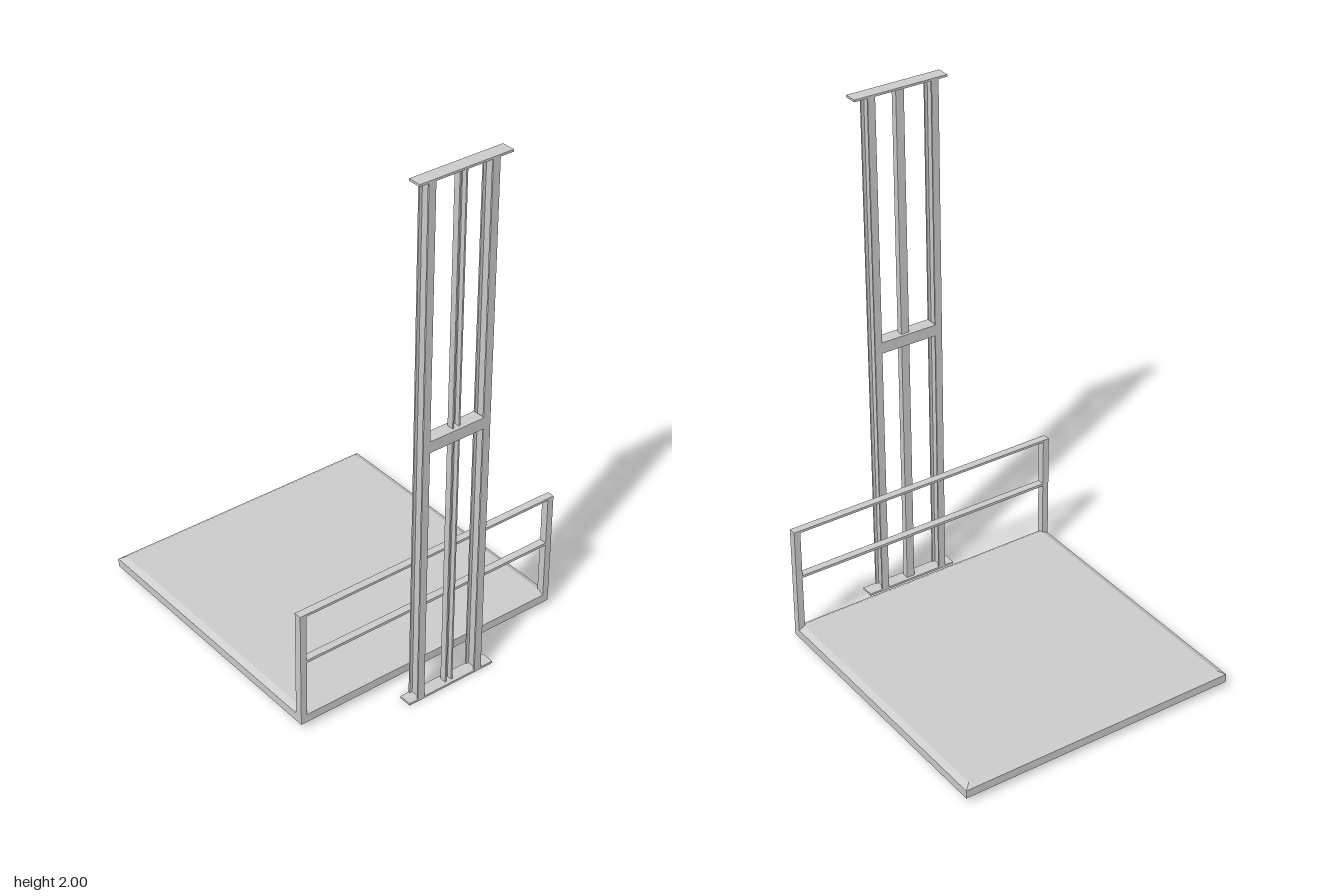
import * as THREE from 'three';

const grey = new THREE.MeshStandardMaterial({ color: 0xcccccc, flatShading: true });

// Box given by its min and max on each axis
function bar(parent, name, x0, x1, y0, y1, z0, z1) {
  const mesh = new THREE.Mesh(new THREE.BoxGeometry(x1 - x0, y1 - y0, z1 - z0), grey);
  mesh.position.set((x0 + x1) / 2, (y0 + y1) / 2, (z0 + z1) / 2);
  mesh.name = name;
  parent.add(mesh);
  return mesh;
}

// Upright steel section: outline in (x, z), extruded from y0 to y1
function upright(parent, name, outline, y0, y1) {
  const shape = new THREE.Shape(outline.map(([x, z]) => new THREE.Vector2(x, -z)));
  const geo = new THREE.ExtrudeGeometry(shape, { depth: y1 - y0, bevelEnabled: false });
  geo.rotateX(-Math.PI / 2);
  const mesh = new THREE.Mesh(geo, grey);
  mesh.position.y = y0;
  mesh.name = name;
  parent.add(mesh);
}

// I-section with flanges facing front and back
function iSection(x0, x1, z0, z1, t) {
  const c = (x0 + x1) / 2, w = t / 2;
  return [[x0, z0], [x1, z0], [x1, z0 + t], [c + w, z0 + t], [c + w, z1 - t], [x1, z1 - t],
    [x1, z1], [x0, z1], [x0, z1 - t], [c - w, z1 - t], [c - w, z0 + t], [x0, z0 + t]];
}

// U-section open to the front
function uSection(x0, x1, z0, z1, t) {
  return [[x0, z0], [x1, z0], [x1, z1], [x1 - t, z1], [x1 - t, z0 + t],
    [x0 + t, z0 + t], [x0 + t, z1], [x0, z1]];
}

export function createModel() {
  const model = new THREE.Group();

  // Mast: two I-beams and a guide channel between end plates
  const mast = new THREE.Group();
  mast.name = 'mast';
  model.add(mast);
  const zb = 0.563, zf = 0.613, plate = 0.008;
  bar(mast, 'basePlate', -0.184, 0.184, 0, plate, zb, zf);
  bar(mast, 'topPlate', -0.184, 0.184, 2 - plate, 2, zb, zf);
  upright(mast, 'rightColumn', iSection(-0.148, -0.12, zb, zf, 0.006), plate, 2 - plate);
  upright(mast, 'leftColumn', iSection(0.103, 0.132, zb, zf, 0.006), plate, 2 - plate);
  upright(mast, 'guideChannel', uSection(-0.017, 0.015, 0.575, 0.6, 0.006), plate, 2 - plate);
  bar(mast, 'crossbar', -0.122, 0.105, 1.012, 1.055, zb, zf);

  // Platform: slab with a shallow chamfer round its top
  const platform = new THREE.Group();
  platform.name = 'platform';
  model.add(platform);
  const X = 0.55, back = -0.613, front = 0.49, midZ = (front + back) / 2, halfZ = (front - back) / 2;
  bar(platform, 'slab', -X, X, 0.025, 0.057, back, front);
  const deck = bar(platform, 'chamferedDeck', -X, X, 0.057, 0.069, back, front);
  const p = deck.geometry.attributes.position;
  for (let i = 0; i < p.count; i++) {
    if (p.getY(i) > 0) {
      p.setX(i, p.getX(i) * (X - 0.024) / X);
      p.setZ(i, p.getZ(i) * (halfZ - 0.021) / halfZ);
    }
  }
  deck.geometry.computeVertexNormals();
  deck.position.z = midZ;

  // Guard rail along the mast side
  const rail = new THREE.Group();
  rail.name = 'guardRail';
  model.add(rail);
  const inner = 0.525, railZ = 0.461;
  bar(rail, 'rightPost', -X, -inner, 0.025, 0.48, railZ, front);
  bar(rail, 'leftPost', inner, X, 0.025, 0.48, railZ, front);
  bar(rail, 'topRail', -inner, inner, 0.471, 0.48, railZ, front);
  bar(rail, 'middleRail', -inner, inner, 0.278, 0.288, railZ, front);

  return model;
}
